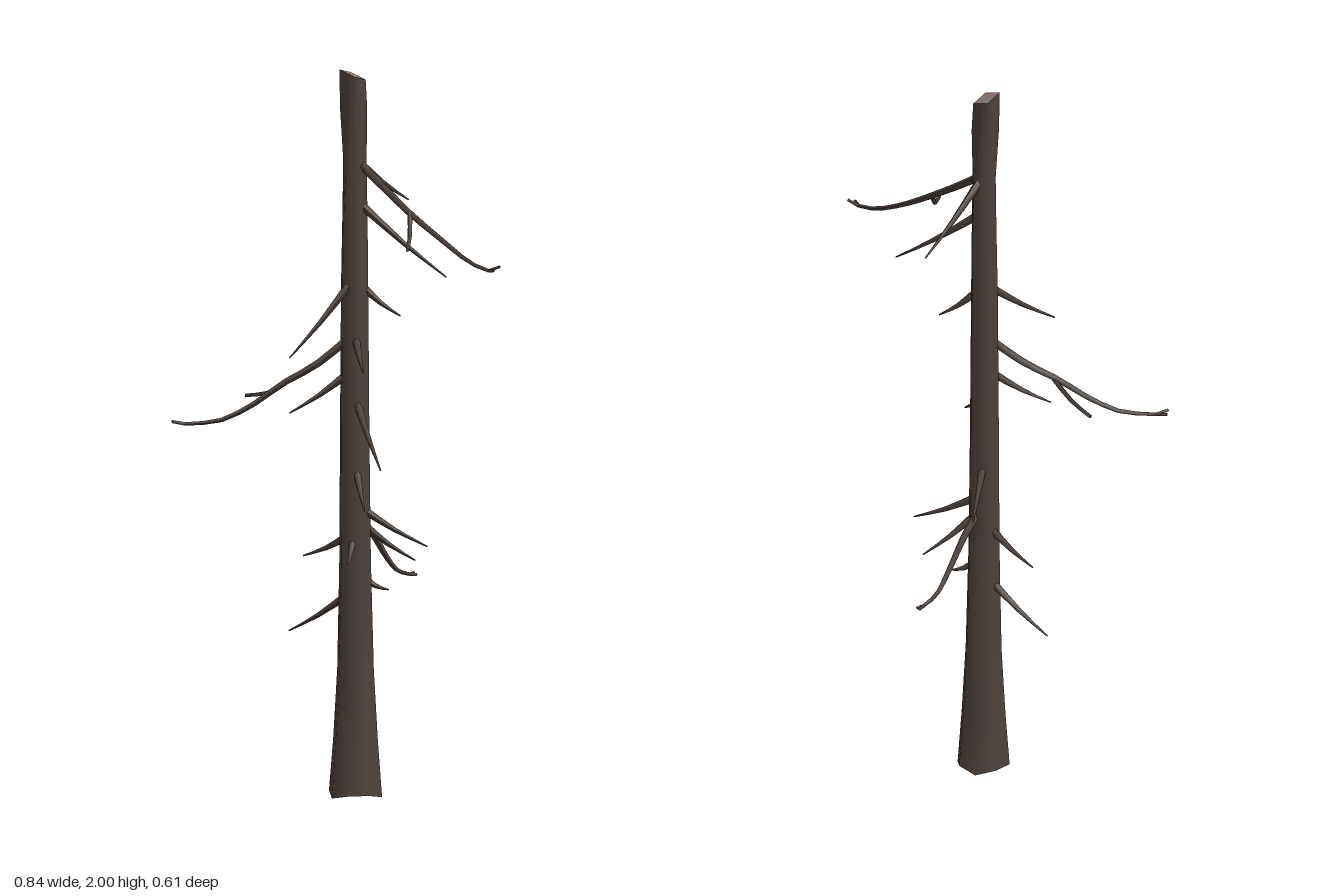
import * as THREE from 'three';

const bark = new THREE.MeshStandardMaterial({ color: 0x4f433c, side: THREE.DoubleSide });
bark.name = 'bark';
const wood = new THREE.MeshStandardMaterial({ color: 0x8c7871 });
wood.name = 'cut wood';

const SIDES = 8;

// Trunk rings: height, radius, centre x, centre z, twist and squareness (0 octagon, 1 diamond)
const RINGS = [
  [0, 0.074, 0.08, -0.085, 0.5, 0],
  [0.16, 0.062, 0.08, -0.085, 0.5, 0],
  [0.35, 0.051, 0.08, -0.085, 0.5, 0],
  [0.65, 0.044, 0.079, -0.086, 0.5, 0],
  [1.0, 0.041, 0.078, -0.087, 0.5, 0],
  [1.4, 0.038, 0.078, -0.088, 0.5, 0],
  [1.6, 0.035, 0.079, -0.089, 0.5, 0],
  [1.75, 0.033, 0.079, -0.09, 0.35, 0.2],
  [1.89, 0.037, 0.076, -0.092, 0, 0.7],
  [1.985, 0.036, 0.073, -0.094, 0, 1],
];

function ringPoints([y, r, cx, cz, twist, square], index) {
  return Array.from({ length: SIDES }, (_, i) => {
    const a = ((i + twist) / SIDES) * Math.PI * 2;
    const diamond = 1 / (Math.abs(Math.cos(a)) + Math.abs(Math.sin(a)));
    const rr = r * THREE.MathUtils.lerp(1, diamond, square);
    const x = Math.cos(a) * rr, z = Math.sin(a) * rr;
    let h = y;
    if (index === 0) h = i % 3 === 0 ? 0 : 0.012;        // uneven foot
    if (index === RINGS.length - 1) h = y - x * 0.42;    // slanted break
    return new THREE.Vector3(cx + x, h, cz + z);
  });
}

function fromTriangles(points, index) {
  const g = new THREE.BufferGeometry().setFromPoints(points);
  g.setIndex(index);
  g.computeVertexNormals();
  return g;
}

function trunkSide(rings) {
  const index = [];
  for (let j = 0; j < rings.length - 1; j++) {
    for (let i = 0; i < SIDES; i++) {
      const n = (i + 1) % SIDES;
      const a = j * SIDES + i, b = j * SIDES + n;
      index.push(a, a + SIDES, b, b, a + SIDES, b + SIDES);
    }
  }
  return fromTriangles(rings.flat(), index);
}

function cap(ring, up, inset) {
  const centre = ring.reduce((s, p) => s.add(p), new THREE.Vector3()).divideScalar(SIDES);
  centre.y += inset;
  const index = [];
  for (let i = 0; i < SIDES; i++) {
    const n = (i + 1) % SIDES;
    index.push(SIDES, up ? n : i, up ? i : n);
  }
  return fromTriangles([...ring, centre], index);
}

// Tapered tube through a few points
function limb(name, pts, r0, r1, segments = 4, sides = 5) {
  const curve = new THREE.CatmullRomCurve3(pts.map((p) => new THREE.Vector3(...p)));
  const g = new THREE.TubeGeometry(curve, segments, 1, sides);
  const pos = g.attributes.position, v = new THREE.Vector3();
  for (let i = 0; i < pos.count; i++) {
    const t = Math.floor(i / (sides + 1)) / segments;
    const c = curve.getPointAt(t);
    v.fromBufferAttribute(pos, i).sub(c).multiplyScalar(THREE.MathUtils.lerp(r0, r1, t)).add(c);
    pos.setXYZ(i, v.x, v.y, v.z);
  }
  g.computeVertexNormals();
  const m = new THREE.Mesh(g, bark);
  m.name = name;
  return m;
}

// Short twigs: height at the trunk, then tip x, y, z
const TWIGS = [
  [1.74, 0.253, 1.6, -0.28],
  [1.625, 0.307, 1.45, 0.06],
  [1.41, -0.125, 1.245, 0.085],
  [1.4, 0.198, 1.325, -0.05],
  [1.26, 0.075, 1.2, 0.096],
  [1.16, -0.103, 1.063, -0.068],
  [1.085, 0.111, 0.945, 0.173],
  [0.9, 0.085, 0.81, 0.05],
  [0.895, 0.123, 0.805, -0.267],
  [0.79, 0.262, 0.7, 0.01],
  [0.745, 0.246, 0.64, -0.107],
  [0.71, -0.044, 0.64, -0.214],
  [0.715, 0.045, 0.655, 0.01],
  [0.6, 0.167, 0.57, -0.06],
  [0.55, -0.083, 0.435, -0.214],
];

// Long branches: main path, two fork tips, optional side shoot
const BRANCHES = [
  {
    path: [[0.09, 1.745, -0.08], [0.15, 1.685, -0.01], [0.207, 1.63, 0.06], [0.275, 1.575, 0.13], [0.35, 1.52, 0.225], [0.392, 1.507, 0.277]],
    fork: [[0.42, 1.52, 0.29], [0.4, 1.511, 0.302]],
    shoot: [[0.207, 1.632, 0.06], [0.198, 1.58, 0.12], [0.178, 1.557, 0.212]],
  },
  {
    path: [[0.06, 1.26, -0.085], [-0.03, 1.19, -0.085], [-0.12, 1.14, -0.09], [-0.2, 1.085, -0.09], [-0.29, 1.042, -0.097], [-0.385, 1.034, -0.105]],
    fork: [[-0.42, 1.043, -0.096], [-0.415, 1.038, -0.117]],
    shoot: [[-0.11, 1.143, -0.09], [-0.15, 1.105, -0.145], [-0.2, 1.085, -0.218]],
  },
  {
    path: [[0.09, 0.765, -0.1], [0.135, 0.71, -0.145], [0.18, 0.635, -0.195], [0.22, 0.585, -0.25], [0.256, 0.568, -0.28]],
    fork: [[0.271, 0.568, -0.303], [0.277, 0.565, -0.288]],
  },
];

export function createModel() {
  const model = new THREE.Group();
  model.name = 'deadTree';
  const add = (name, geometry, material) => {
    const m = new THREE.Mesh(geometry, material);
    m.name = name;
    model.add(m);
  };

  // Trunk with bare wood at both ends
  const rings = RINGS.map(ringPoints);
  add('trunk', trunkSide(rings), bark);
  add('brokenTop', cap(rings[rings.length - 1], true, 0), wood);
  add('trunkFoot', cap(rings[0], false, 0.006), wood);

  // Twigs, sagging a little in the middle
  for (const [y, tx, ty, tz] of TWIGS) {
    const cx = 0.078, cz = -0.088;
    const d = new THREE.Vector2(tx - cx, tz - cz).normalize().multiplyScalar(0.025);
    const s = [cx + d.x, y, cz + d.y];
    const mid = [(s[0] + tx) / 2, (y + ty) / 2 - 0.006, (s[2] + tz) / 2];
    model.add(limb('twig', [s, mid, [tx, ty, tz]], 0.012, 0.002));
  }

  // Long forked branches
  for (const { path, fork, shoot } of BRANCHES) {
    const g = new THREE.Group();
    g.name = 'branch';
    g.add(limb('branchStem', path, 0.012, 0.005, 10));
    const end = path[path.length - 1];
    for (const tip of fork) g.add(limb('forkTip', [end, tip], 0.005, 0.004, 1));
    if (shoot) g.add(limb('sideShoot', shoot, 0.007, 0.005));
    model.add(g);
  }
  return model;
}
